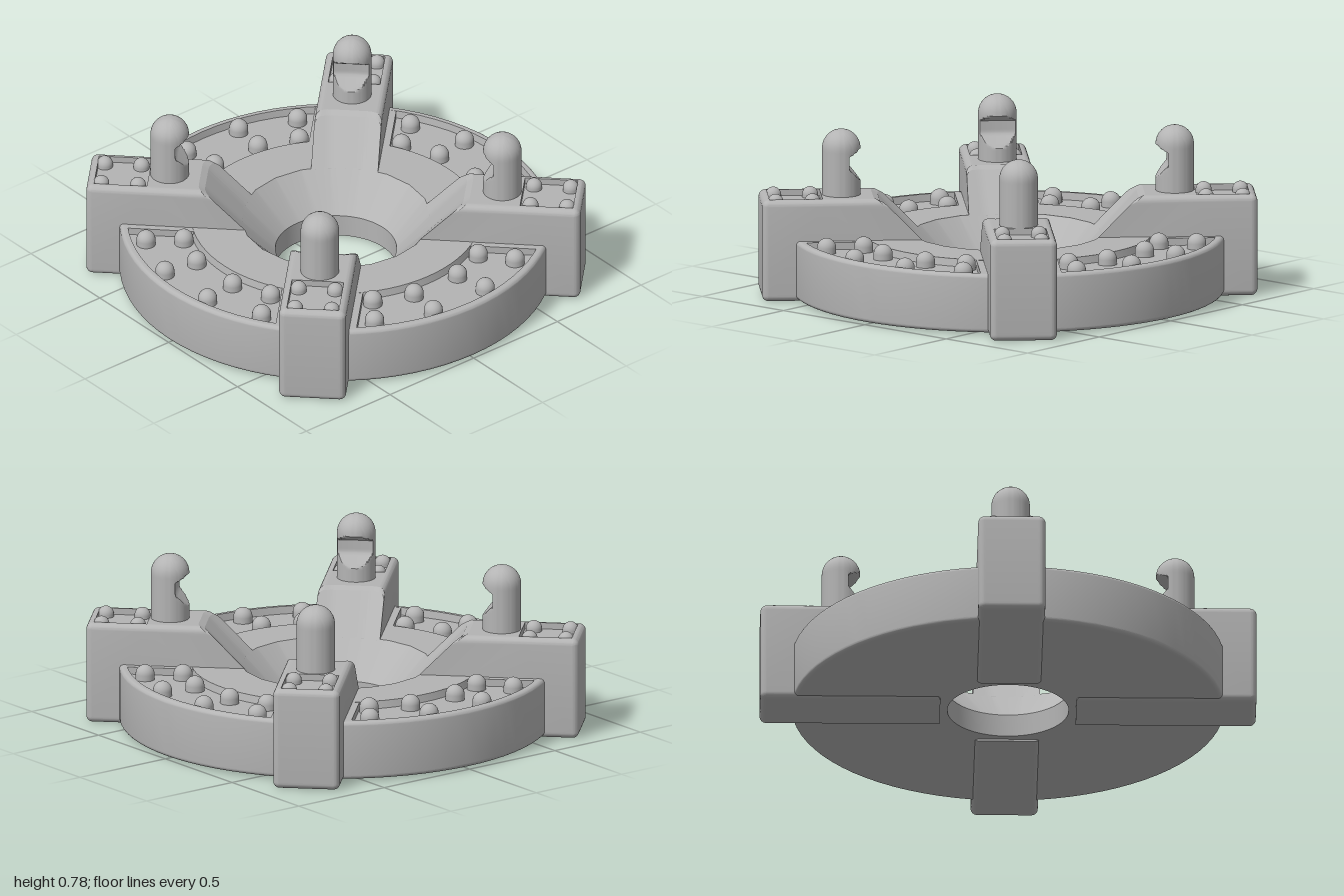
import * as THREE from 'three';
import { toCreasedNormals } from 'three/addons/utils/BufferGeometryUtils.js';

const CREASE = 0.21, STEPS = 8;
const HALF = 0.155, EDGE = 0.03, ARM_END = 1.145, ARM_TOP = 0.475;
const DISC_TOP = 0.285, FLOOR = 0.25, SIDES = 20;
const metal = new THREE.MeshStandardMaterial({ color: 0xb4b4b4 });
metal.name = 'plain grey';

// Radius of the funnel-shaped seat at a height
const seat = y => 0.44 + (y - DISC_TOP) * 0.95;

// Radius of a regular polygon in a given direction
function polygonRadius(r, angle) {
  const step = Math.PI * 2 / SIDES;
  const a = ((angle % step) + step) % step - step / 2;
  return r * Math.cos(step / 2) / Math.cos(a);
}

// Distance along an arm where the faceted seat is met, at side offset v
function seatAlongArm(y, v) {
  let d = seat(y);
  for (let i = 0; i < 6; i++) {
    const r = polygonRadius(seat(y), Math.atan2(v, d) + Math.PI / 4);
    d = Math.sqrt(r * r - v * v);
  }
  return d;
}

function arc(cx, cy, r, from, to) {
  return Array.from({ length: STEPS + 1 }, (_, i) => {
    const a = from + (to - from) * i / STEPS;
    return new THREE.Vector2(cx + r * Math.cos(a), cy + r * Math.sin(a));
  });
}

function add(parent, name, geometry, x = 0, y = 0, z = 0) {
  const mesh = new THREE.Mesh(geometry, metal);
  mesh.name = name;
  mesh.position.set(x, y, z);
  parent.add(mesh);
  return mesh;
}

// Disc with a hole, raised rim, raised inner ring and sunken floor
function discGeometry() {
  const P = (x, y) => new THREE.Vector2(x, y);
  const profile = [
    P(0.28, 0.117), P(0.28, 0.01),
    ...arc(0.98, 0.03, 0.02, -Math.PI / 2, 0),
    ...arc(0.98, DISC_TOP - 0.02, 0.02, 0, Math.PI / 2),
    P(0.965, DISC_TOP), P(0.96, FLOOR), P(0.675, FLOOR), P(0.668, DISC_TOP),
    P(0.44, DISC_TOP), P(0.28, 0.117),
  ];
  const g = new THREE.LatheGeometry(profile, SIDES * 4);
  const p = g.attributes.position;
  for (let i = 0; i < p.count; i++) {
    const x = p.getX(i), z = p.getZ(i), r = Math.hypot(x, z);
    if (Math.abs(r - 0.44) > 0.001) continue;
    const k = polygonRadius(r, Math.atan2(z, x)) / r;
    p.setXYZ(i, x * k, p.getY(i), z * k);
  }
  return toCreasedNormals(g, CREASE);
}

// Side outline of an arm at side offset v, with rounded edges and sunken panel
function armOutline(v) {
  const t = Math.max(0, Math.abs(v) - (HALF - EDGE));
  const e = EDGE - Math.sqrt(Math.max(0, EDGE * EDGE - t * t));
  const r = EDGE - e, x = ARM_END - EDGE, top = ARM_TOP - e;
  const floor = Math.abs(v) < 0.12 ? ARM_TOP - 0.03 : top;
  const P = (a, b) => new THREE.Vector2(a, b);
  return [
    P(0.314 + e, e),
    ...arc(x, EDGE, r, -Math.PI / 2, 0),
    ...arc(x, ARM_TOP - EDGE, r, 0, Math.PI / 2),
    P(1.11, top), P(1.11, floor), P(0.865, floor), P(0.865, top),
    P(seatAlongArm(top, v) + 0.015, top),
    P(seatAlongArm(top - 0.015, v), top - 0.015),
    P(seatAlongArm(0.28, v), 0.28),
    P(0.37, 0.1), P(0.314 + e, 0.04),
  ];
}

// Arm lofted through its side outlines
function armGeometry() {
  const side = [];
  for (let i = STEPS; i >= 0; i--) {
    side.push(HALF - EDGE + EDGE * Math.sin(i / STEPS * Math.PI / 2));
  }
  side.push(0.1201, 0.1199, 0.1, 0.08, 0.06, 0.04, 0.02);
  const offsets = [...side.map(v => -v), 0, ...side.reverse()];
  const outlines = offsets.map(armOutline);
  const n = outlines[0].length, last = (offsets.length - 1) * n;
  const positions = [], index = [];
  outlines.forEach((o, i) => o.forEach(q => positions.push(q.x, q.y, offsets[i])));
  for (let i = 0; i < offsets.length - 1; i++) {
    for (let j = 0; j < n; j++) {
      const a = i * n + j, b = i * n + (j + 1) % n;
      index.push(a, b, b + n, a, b + n, a + n);
    }
  }
  for (const [a, b, c] of THREE.ShapeUtils.triangulateShape(outlines[0], [])) {
    index.push(c, b, a, last + a, last + b, last + c);
  }
  const g = new THREE.BufferGeometry();
  g.setAttribute('position', new THREE.Float32BufferAttribute(positions, 3));
  g.setIndex(index);
  return toCreasedNormals(g, CREASE);
}

// Round-headed peg with a notch on the side facing the centre
function pegGeometry(distance) {
  const r = 0.089, shoulder = 0.692, profile = [];
  for (let y = 0.44; y < shoulder - 0.004; y += 0.01) profile.push(new THREE.Vector2(r, y));
  profile.push(...arc(0, shoulder, r, 0, Math.PI / 2));
  const g = new THREE.LatheGeometry(profile, 64);
  const p = g.attributes.position;
  for (let i = 0; i < p.count; i++) {
    const y = p.getY(i), z = p.getZ(i), x = p.getX(i) + distance;
    const cut = y < 0.66 ? Math.min(seat(y), 0.742) : 0.742 - (y - 0.66) * 2;
    if (y > 0.47 && Math.hypot(x, z) < cut) p.setX(i, Math.sqrt(cut * cut - z * z) - distance);
  }
  return toCreasedNormals(g, 0.5);
}

// Small domed stud
function studGeometry(r) {
  return new THREE.LatheGeometry(
    [new THREE.Vector2(r, -0.04), ...arc(0, 0, r, 0, Math.PI / 2)], 24);
}

export function createModel() {
  const model = new THREE.Group();
  model.name = 'prongedSetting';
  add(model, 'disc', discGeometry());

  const pegDistance = 0.771;
  const arm = armGeometry(), peg = pegGeometry(pegDistance);
  const armStud = studGeometry(0.037), discStud = studGeometry(0.044);
  const border = new THREE.BoxGeometry(0.32, 0.055, 0.375);

  for (let k = 0; k < 4; k++) {
    // Arm with its peg, studs and the raised border beside it
    const prong = new THREE.Group();
    prong.name = 'prong';
    prong.rotation.y = Math.PI / 4 + k * Math.PI / 2;
    model.add(prong);
    add(prong, 'arm', arm);
    add(prong, 'peg', peg, pegDistance);
    add(prong, 'panelBorder', border, 0.8, DISC_TOP - 0.0285, 0);
    for (const d of [0.91, 1.08]) {
      for (const s of [-1, 1]) add(prong, 'armStud', armStud, d, 0.458, s * 0.085);
    }

    // Studs on the sunken floor between two arms
    const sector = new THREE.Group();
    sector.name = 'studdedSector';
    sector.rotation.y = k * Math.PI / 2;
    model.add(sector);
    for (const [x, z] of [[0.155, 0.895], [0.42, 0.79], [0.13, 0.725], [0.315, 0.65]]) {
      for (const s of [-1, 1]) add(sector, 'discStud', discStud, s * x, 0.276, z);
    }
  }
  return model;
}
